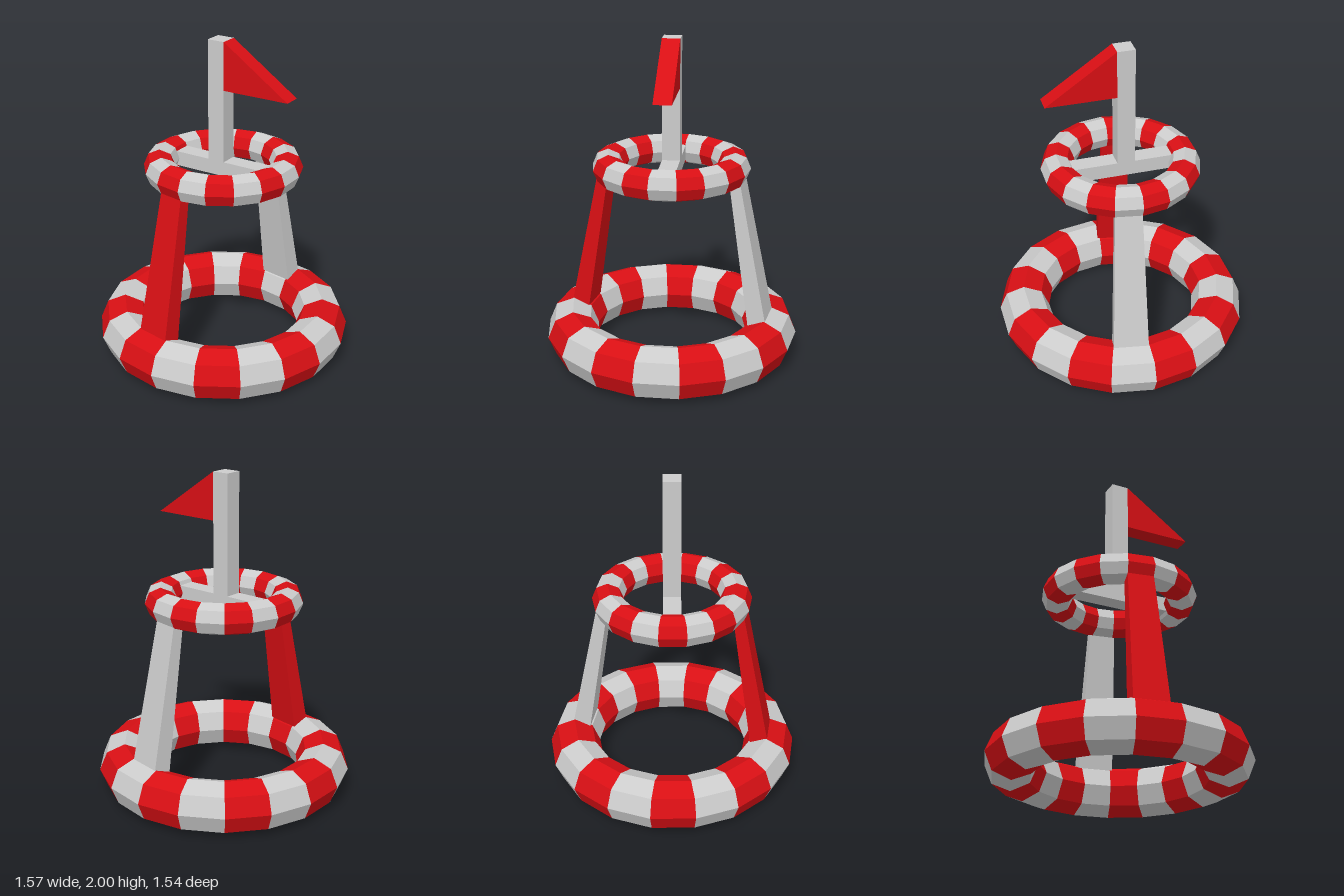
import * as THREE from 'three';
import { mergeGeometries } from 'three/addons/utils/BufferGeometryUtils.js';

const grey = new THREE.MeshStandardMaterial({ color: 0xcccccc, flatShading: true });
const red = new THREE.MeshStandardMaterial({ color: 0xd80f14, flatShading: true });

function addMesh(parent, name, geometry, material) {
  const mesh = new THREE.Mesh(geometry, material);
  mesh.name = name;
  parent.add(mesh);
  return mesh;
}

// Octagonal-section ring of 18 segments in alternating colours
function createRing(name, radius, tube, y) {
  const ring = new THREE.Group();
  ring.name = name;
  ring.position.y = y;
  const count = 18, step = (Math.PI * 2) / count;
  const stripes = [[], []];
  for (let i = 0; i < count; i++) {
    const segment = new THREE.TorusGeometry(radius, tube, 8, 1, step);
    segment.rotateZ(i * step).rotateX(Math.PI / 2);
    stripes[i % 2].push(segment);
  }
  addMesh(ring, name + 'RedStripes', mergeGeometries(stripes[0]), red);
  addMesh(ring, name + 'GreyStripes', mergeGeometries(stripes[1]), grey);
  return ring;
}

// Leaning leg: a box whose ends are moved to the given half width and depth range
function createLegGeometry() {
  const bottom = { y: 0.16, half: 0.11, inner: 0.533, outer: 0.653 };
  const top = { y: 1.22, half: 0.078, inner: 0.37, outer: 0.434 };
  const geometry = new THREE.BoxGeometry(2, 2, 2);
  const p = geometry.attributes.position;
  for (let i = 0; i < p.count; i++) {
    const end = p.getY(i) > 0 ? top : bottom;
    p.setXYZ(i, p.getX(i) * end.half, end.y, p.getZ(i) > 0 ? end.outer : end.inner);
  }
  geometry.computeVertexNormals();
  return geometry;
}

export function createModel() {
  const model = new THREE.Group();
  model.name = 'buoy';

  model.add(createRing('floatRing', 0.626, 0.158, 0.158));
  model.add(createRing('topRing', 0.385, 0.095, 1.22));

  // Two legs joining the rings
  addMesh(model, 'frontLeg', createLegGeometry(), red);
  addMesh(model, 'backLeg', createLegGeometry(), grey).rotation.y = Math.PI;

  // Crossbar, post and flag share a slight turn
  const mast = new THREE.Group();
  mast.name = 'mast';
  mast.position.set(-0.018, 0, 0.002);
  mast.rotation.y = THREE.MathUtils.degToRad(10);
  model.add(mast);

  const width = 0.108;
  addMesh(mast, 'crossbar', new THREE.BoxGeometry(0.69, 0.09, width), grey)
    .position.set(0.018, 1.22, 0);
  addMesh(mast, 'post', new THREE.BoxGeometry(width, 0.79, width), grey)
    .position.y = 1.605;

  // Thick triangular pennant
  const pennant = new THREE.Shape([
    new THREE.Vector2(width / 2, 1.71),
    new THREE.Vector2(0.477, 1.71),
    new THREE.Vector2(width / 2, 2),
  ]);
  const flag = new THREE.ExtrudeGeometry(pennant, { depth: width, bevelEnabled: false });
  addMesh(mast, 'flag', flag.translate(0, 0, -width / 2), red);

  return model;
}
